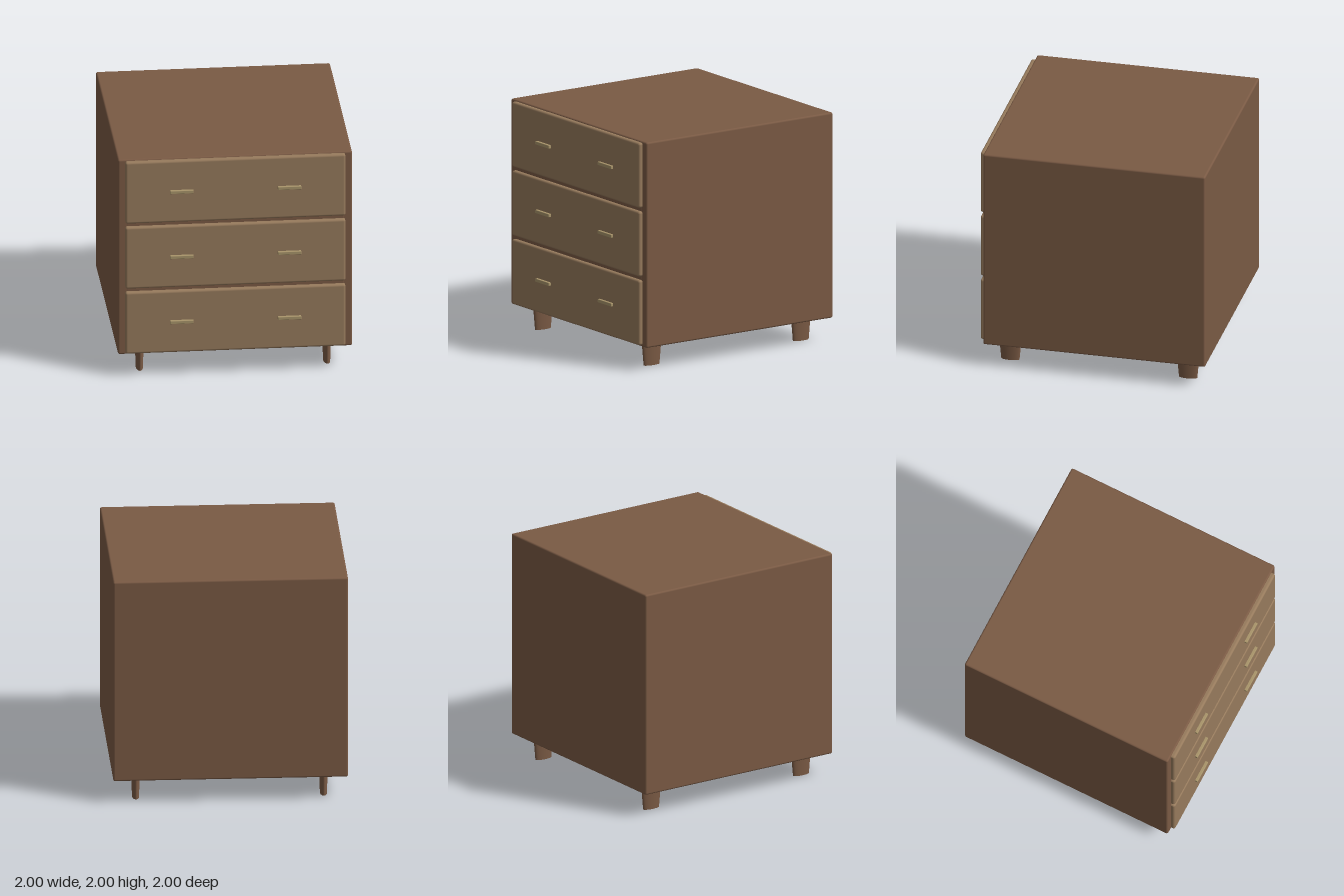
import * as THREE from 'three';
import { RoundedBoxGeometry } from 'three/addons/geometries/RoundedBoxGeometry.js';

const bodyWood = new THREE.MeshStandardMaterial({ color: 0x7a5a44 });
const frontWood = new THREE.MeshStandardMaterial({ color: 0x967a5c });
const brass = new THREE.MeshStandardMaterial({ color: 0xa8946a });

// Rounded box given by its min and max corners
function block(name, material, min, max, radius) {
  const size = max.map((v, i) => v - min[i]);
  const mesh = new THREE.Mesh(new RoundedBoxGeometry(...size, 3, radius), material);
  mesh.position.set(...max.map((v, i) => (v + min[i]) / 2));
  mesh.name = name;
  return mesh;
}

export function createModel() {
  const model = new THREE.Group();
  model.name = 'chestOfDrawers';

  // Carcass
  model.add(block('carcass', bodyWood, [-1, 0.205, -1], [1, 2, 0.94], 0.016));

  // Drawers, each with two bar handles
  for (let i = 0; i < 3; i++) {
    const y = 0.505 + i * 0.6;
    const drawer = new THREE.Group();
    drawer.name = 'drawer';
    drawer.add(block('drawerFront', frontWood, [-0.94, y - 0.285, 0.9], [0.94, y + 0.283, 0.977], 0.02));
    for (const x of [-0.46, 0.46]) {
      drawer.add(block('handle', brass, [x - 0.1, y - 0.015, 0.965], [x + 0.1, y + 0.015, 1], 0.005));
    }
    model.add(drawer);

    // Rail showing in the gap above the lower two drawers
    if (i < 2) {
      model.add(block('rail', bodyWood, [-0.925, y + 0.27, 0.9], [0.925, y + 0.33, 0.943], 0.004));
    }
  }

  // Tapered oval legs
  const legGeometry = new THREE.CylinderGeometry(0.1, 0.08, 0.215, 32);
  legGeometry.scale(0.37, 1, 1);
  for (const x of [-0.8, 0.8]) {
    for (const z of [-0.805, 0.748]) {
      const leg = new THREE.Mesh(legGeometry, bodyWood);
      leg.position.set(x, 0.1075, z);
      leg.name = 'leg';
      model.add(leg);
    }
  }
  return model;
}
